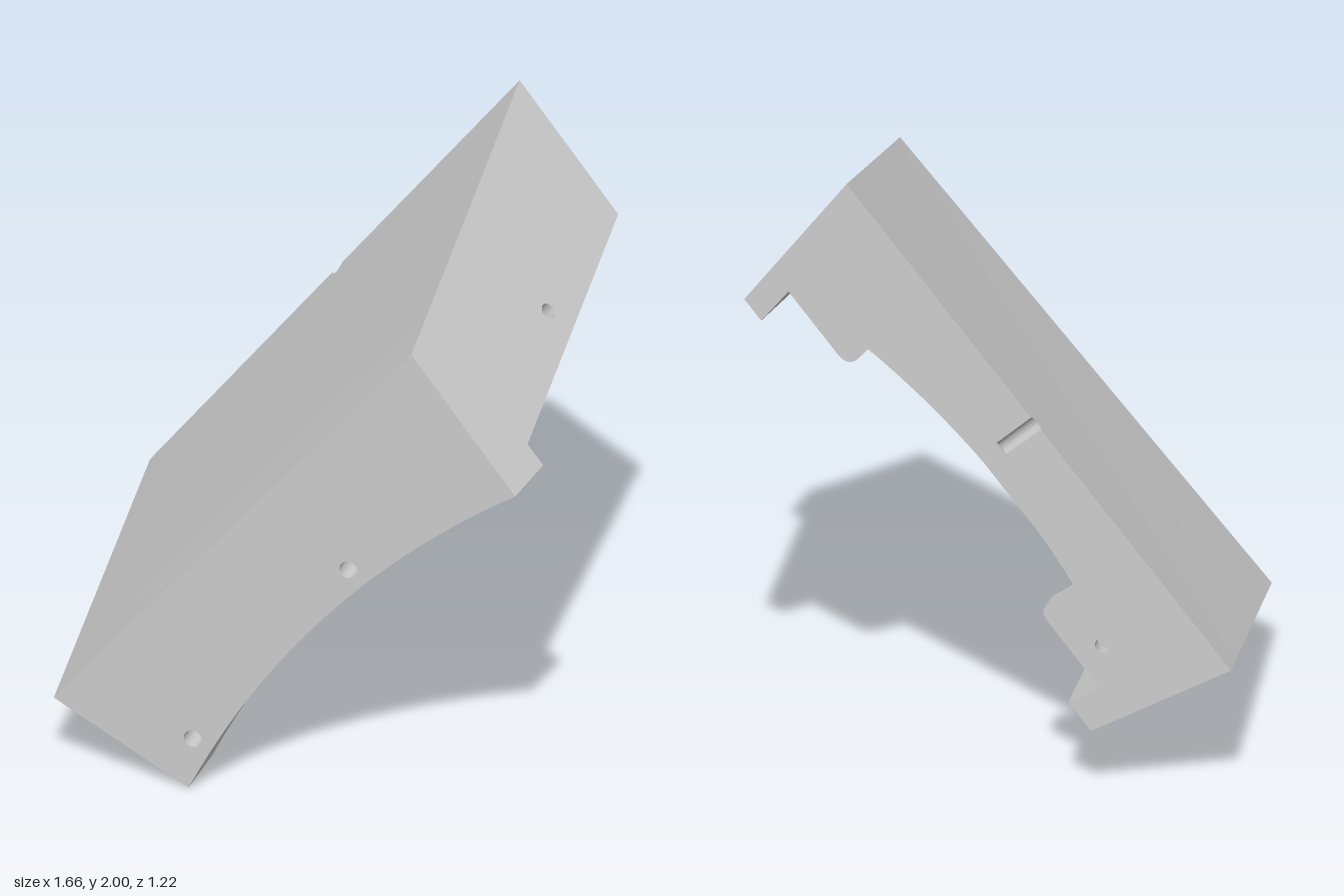
import * as THREE from 'three';
import { toCreasedNormals } from 'three/addons/utils/BufferGeometryUtils.js';

const V = (x, y) => new THREE.Vector2(x, y);
const FRONT = 0.61, BACK = -0.61, INNER = 0.41, SLAB = 0.225;

// Upper corners of the front section and the downward directions of both ends
const A = V(-0.72, 0.24), B = V(0.46, 1.65);
const DL = V(0.88, -0.475), DR = V(0.617, -0.787);

// Drift of the section from front to back at fraction a of its length
function drift(a, z) {
  const k = (FRONT - z) / (FRONT - BACK);
  return V(k * (-0.11 + 0.04 * a), k * (0.215 + 0.135 * a));
}

// a: fraction along the block, d: depth below the outer face, z: world z
function at(a, d, z) {
  const l = A.clone().addScaledVector(DL, d);
  const r = B.clone().addScaledVector(DR, d);
  const q = l.lerp(r, a).add(drift(a, z));
  return [q.x, q.y, z];
}

// Round hole outline; shear keeps it level on the sloping end walls
function ring(cx, cy, rx, ry, shear = 0) {
  const points = [];
  for (let i = 0; i < 20; i++) {
    const t = (-i / 20) * Math.PI * 2;
    const y = ry * Math.sin(t);
    points.push(V(cx + rx * Math.cos(t) + shear * y, cy + y));
  }
  return new THREE.Path(points);
}

// Extrude a shape between two levels, then move every vertex by a rule
function prism(name, shape, from, to, rule) {
  const g = new THREE.ExtrudeGeometry(shape, {
    depth: to - from, bevelEnabled: false, curveSegments: 20,
  });
  const p = g.attributes.position;
  for (let i = 0; i < p.count; i++) {
    const [x, y, z] = rule(p.getX(i), p.getY(i), p.getZ(i) + from);
    p.setXYZ(i, x, y, z);
  }
  g.computeVertexNormals();
  const mesh = new THREE.Mesh(toCreasedNormals(g, 0.5),
    new THREE.MeshStandardMaterial({ color: 0xcccccc }));
  mesh.name = name;
  return mesh;
}

// Layer of the thick outer plate, optionally with a half-round notch at the back
function plate(name, top, bottom, notched) {
  const s = new THREE.Shape();
  s.moveTo(BACK, 0);
  s.lineTo(INNER, 0);
  s.lineTo(INNER, 1);
  s.lineTo(BACK, 1);
  if (notched) {
    s.lineTo(BACK, 0.52);
    s.absellipse(BACK, 0.507, 0.027, 0.013, Math.PI / 2, -Math.PI / 2, true, 0);
  }
  s.closePath();
  return prism(name, s, -bottom, -top, (x, y, z) => at(y, -z, x));
}

// End wall layer between fractions a0 and a1, with a round hole
function endWall(name, a0, a1, depth, r) {
  const s = new THREE.Shape([
    V(-depth, BACK), V(-SLAB, BACK), V(-SLAB, INNER), V(-depth, INNER),
  ]);
  s.holes.push(ring(-0.417, -0.055, r, r, 0.37));
  return prism(name, s, a0, a1, (x, y, z) => at(z, -x, y));
}

// Mounting tab with one rounded corner and a blind screw hole
function tab(name, start, width, mirrored) {
  const end = start + width, low = -0.39, r = 0.05, ra = 0.03;
  const m = (a) => (mirrored ? 1 - a : a);
  const outline = () => {
    const s = new THREE.Shape();
    s.moveTo(m(start), -SLAB);
    s.lineTo(m(start), low);
    s.lineTo(m(end - ra), low);
    s.quadraticCurveTo(m(end), low, m(end), low + r);
    s.lineTo(m(end), -SLAB);
    s.closePath();
    return s;
  };
  const drilled = outline();
  drilled.holes.push(ring(m(0.13), -0.293, 0.014, 0.024));
  const rule = (x, y, z) => at(x, -y, z);
  const group = new THREE.Group();
  group.name = name;
  group.add(
    prism(name + 'Drilled', drilled, BACK, -0.53, rule),
    prism(name + 'Base', outline(), -0.53, -0.51, rule),
  );
  return group;
}

// Front wall with a concave lower edge and two through holes
function frontWall() {
  const C = V(-0.275, 0), D = V(0.803, 1.2124);
  const M = A.clone().lerp(B, 0.3);
  const holes = [V(-0.262, 0.175), V(0.252, 0.858)];
  const s = new THREE.Shape();
  s.moveTo(A.x, A.y);
  s.lineTo(C.x, C.y);
  s.quadraticCurveTo(0.092, 0.759, D.x, D.y);
  s.lineTo(B.x, B.y);
  s.lineTo(M.x, M.y);
  s.closePath();
  holes.forEach((h) => s.holes.push(ring(h.x, h.y, 0.029, 0.029)));
  return prism('frontWall', s, INNER, FRONT, (x, y, z) => {
    const p = V(x, y);
    const k = (FRONT - z) / (FRONT - INNER);
    const top = [A, M, B].findIndex((q) => q.distanceTo(p) < 0.01);
    if (top >= 0) p.add(drift([0, 0.3, 1][top], z));
    else if (!holes.some((h) => h.distanceTo(p) < 0.04)) {
      // the concave edge slides along itself to follow the sloping ends
      const a = (x - C.x) / (D.x - C.x);
      p.add(V(0.0095 + 0.0128 * a, 0.02 - 0.0058 * a).multiplyScalar(k));
    }
    return [p.x, p.y, z];
  });
}

export function createModel() {
  const group = new THREE.Group();
  group.name = 'housingBlock';
  group.add(
    plate('outerPlate', 0, 0.15, true),
    plate('innerPlate', 0.15, SLAB, false),
    frontWall(),
    // lower end wall: narrow hole outside, wide recess inside
    endWall('lowerEndWallOuter', 0, 0.033, 0.505, 0.024),
    endWall('lowerEndWallInner', 0.033, 0.066, 0.505, 0.057),
    endWall('upperEndWall', 0.95, 1, 0.527, 0.027),
    tab('lowerTab', 0.066, 0.176, false),
    tab('upperTab', 0.05, 0.17, true),
  );
  return group;
}
